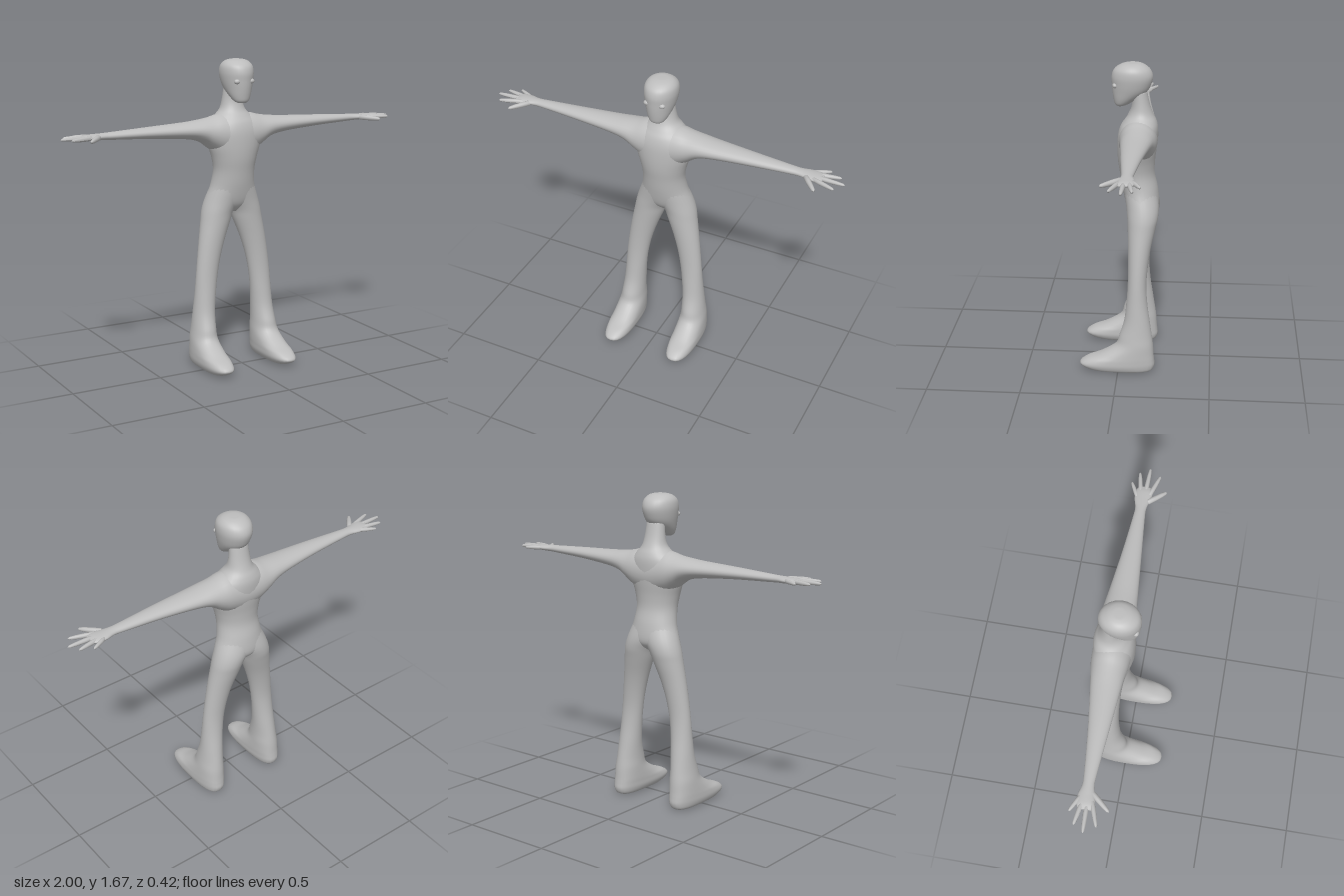
import * as THREE from 'three';

const SEG = 28;

// Smooth skin over cross-sections [t, aMin, aMax, bMin, bMax, power], t increasing.
// axis 'y': a = z, b = x.  axis 'x': a = y, b = z.
function loft(axis, sections, steps = 5) {
  const mids = new THREE.CatmullRomCurve3(
    sections.map(s => new THREE.Vector3((s[1] + s[2]) / 2, (s[3] + s[4]) / 2, s[0])), false, 'catmullrom', 0.5);
  const radii = new THREE.CatmullRomCurve3(
    sections.map(s => new THREE.Vector3((s[2] - s[1]) / 2, (s[4] - s[3]) / 2, s[5] ?? 1)), false, 'catmullrom', 0.5);
  const rings = (sections.length - 1) * steps;
  const pos = [], index = [];
  const put = (a, b, t) => (axis === 'y' ? pos.push(b, t, a) : pos.push(t, a, b));
  const bend = (v, p) => Math.sign(v) * Math.abs(v) ** p;
  for (let i = 0; i <= rings; i++) {
    const m = mids.getPoint(i / rings), r = radii.getPoint(i / rings);
    for (let j = 0; j < SEG; j++) {
      const q = (j / SEG) * Math.PI * 2;
      put(m.x + r.x * bend(Math.cos(q), r.z), m.y + r.y * bend(Math.sin(q), r.z), m.z);
      if (i === rings) continue;
      const a = i * SEG + j, b = i * SEG + (j + 1) % SEG;
      index.push(a, b, a + SEG, b, b + SEG, a + SEG);
    }
  }
  // end caps
  const first = mids.getPoint(0), last = mids.getPoint(1), n = (rings + 1) * SEG;
  put(first.x, first.y, first.z);
  put(last.x, last.y, last.z);
  for (let j = 0; j < SEG; j++) {
    const k = (j + 1) % SEG;
    index.push(n, k, j, n + 1, rings * SEG + j, rings * SEG + k);
  }
  const g = new THREE.BufferGeometry();
  g.setAttribute('position', new THREE.Float32BufferAttribute(pos, 3));
  g.setIndex(index);
  g.computeVertexNormals();
  return g;
}

// Mirror image across x = 0 with the faces turned back outward
function mirrored(geometry) {
  const g = geometry.clone().scale(-1, 1, 1);
  const ix = g.index.array;
  for (let i = 0; i < ix.length; i += 3) [ix[i], ix[i + 1]] = [ix[i + 1], ix[i]];
  g.computeVertexNormals();
  return g;
}

// Tapered finger with a rounded tip
function finger(from, to, r) {
  const a = new THREE.Vector3(...from), d = new THREE.Vector3(...to).sub(a), len = d.length();
  const profile = [[0, 0], [r, 0], [r, 0.35], [r * 0.85, 0.7], [r * 0.6, 0.93], [0, 1]]
    .map(([x, y]) => new THREE.Vector2(x, y * len));
  const g = new THREE.LatheGeometry(profile, 12);
  g.applyQuaternion(new THREE.Quaternion().setFromUnitVectors(new THREE.Vector3(0, 1, 0), d.normalize()));
  return g.translate(a.x, a.y, a.z);
}

export function createModel() {
  const model = new THREE.Group();
  model.name = 'figure';
  const grey = new THREE.MeshStandardMaterial({ color: 0xbdbdbd });
  grey.name = 'plain grey';
  const add = (name, geometry) => {
    const mesh = new THREE.Mesh(geometry, grey);
    mesh.name = name;
    model.add(mesh);
  };
  const addPair = (name, geometry) => {
    add('left' + name, geometry);
    add('right' + name, mirrored(geometry));
  };

  // torso running up into the neck
  add('torso', loft('y', [
    [0.85, -0.15, -0.08, -0.03, 0.03],
    [0.88, -0.19, -0.05, -0.12, 0.12],
    [0.92, -0.207, -0.03, -0.15, 0.15],
    [1.0, -0.2, -0.01, -0.127, 0.127],
    [1.08, -0.182, 0.003, -0.118, 0.118],
    [1.15, -0.182, 0.014, -0.13, 0.13],
    [1.22, -0.19, 0.018, -0.152, 0.152],
    [1.29, -0.196, 0.015, -0.165, 0.165],
    [1.34, -0.196, 0.002, -0.14, 0.14],
    [1.375, -0.187, -0.02, -0.105, 0.105],
    [1.41, -0.17, -0.043, -0.072, 0.072],
    [1.46, -0.153, -0.058, -0.059, 0.059],
    [1.54, -0.135, -0.06, -0.052, 0.052],
  ]));

  // shoulders, arms and palms as one span
  const armHalf = [
    [0.09, 1.17, 1.387, -0.194, 0.004],
    [0.15, 1.205, 1.373, -0.187, -0.003],
    [0.21, 1.246, 1.364, -0.177, -0.01],
    [0.3, 1.268, 1.356, -0.163, -0.018],
    [0.5, 1.285, 1.347, -0.137, -0.035],
    [0.7, 1.295, 1.337, -0.117, -0.053],
    [0.76, 1.298, 1.334, -0.114, -0.055],
    [0.81, 1.3, 1.332, -0.126, -0.044],
    [0.855, 1.302, 1.33, -0.127, -0.036],
    [0.885, 1.309, 1.324, -0.115, -0.05],
  ];
  add('arms', loft('x', [
    ...armHalf.map(([x, ...rest]) => [-x, ...rest]).reverse(),
    [0, 1.15, 1.39, -0.196, 0.01],
    ...armHalf,
  ]));

  // fingers and thumb: base, tip, radius
  const y = 1.316;
  [
    ['Thumb', [0.8, y, -0.055], [0.877, y - 0.006, 0.037], 0.014],
    ['IndexFinger', [0.84, y, -0.052], [0.963, y, -0.01], 0.012],
    ['MiddleFinger', [0.85, y, -0.075], [1.0, y, -0.07], 0.012],
    ['RingFinger', [0.84, y, -0.098], [0.968, y, -0.122], 0.012],
    ['LittleFinger', [0.82, y, -0.112], [0.905, y, -0.156], 0.011],
  ].forEach(([name, from, to, r]) => addPair(name, finger(from, to, r)));

  // leg and foot in one skin
  addPair('Leg', loft('y', [
    [0.006, -0.16, 0.11, 0.155, 0.235, 0.75],
    [0.018, -0.187, 0.17, 0.135, 0.255, 0.75],
    [0.045, -0.199, 0.21, 0.122, 0.266, 0.8],
    [0.075, -0.197, 0.175, 0.12, 0.267, 0.8],
    [0.105, -0.194, 0.1, 0.12, 0.265, 0.85],
    [0.16, -0.19, 0.015, 0.122, 0.26, 0.95],
    [0.22, -0.182, -0.008, 0.124, 0.252],
    [0.3, -0.17, -0.032, 0.122, 0.243],
    [0.4, -0.156, -0.043, 0.115, 0.234],
    [0.5, -0.15, -0.049, 0.103, 0.226],
    [0.6, -0.156, -0.05, 0.083, 0.215],
    [0.7, -0.17, -0.048, 0.053, 0.201],
    [0.8, -0.192, -0.044, 0.015, 0.184],
    [0.86, -0.205, -0.04, -0.008, 0.173],
    [0.92, -0.207, -0.032, -0.05, 0.155],
    [1.0, -0.193, -0.016, -0.1, 0.124],
  ]));

  // head with a narrow chin
  add('head', loft('y', [
    [1.451, -0.012, 0.018, -0.022, 0.022],
    [1.462, -0.042, 0.031, -0.041, 0.041],
    [1.49, -0.085, 0.038, -0.058, 0.058],
    [1.53, -0.138, 0.044, -0.073, 0.073],
    [1.57, -0.16, 0.047, -0.083, 0.083],
    [1.61, -0.168, 0.048, -0.088, 0.088],
    [1.645, -0.155, 0.036, -0.083, 0.083],
    [1.668, -0.127, 0.006, -0.064, 0.064],
    [1.678, -0.1, -0.025, -0.037, 0.037],
    [1.68, -0.075, -0.05, -0.012, 0.012],
  ]));

  // slightly raised eyes
  addPair('Eye', new THREE.SphereGeometry(0.018, 16, 12).scale(1, 0.75, 0.8).translate(0.042, 1.567, 0.027));
  return model;
}
